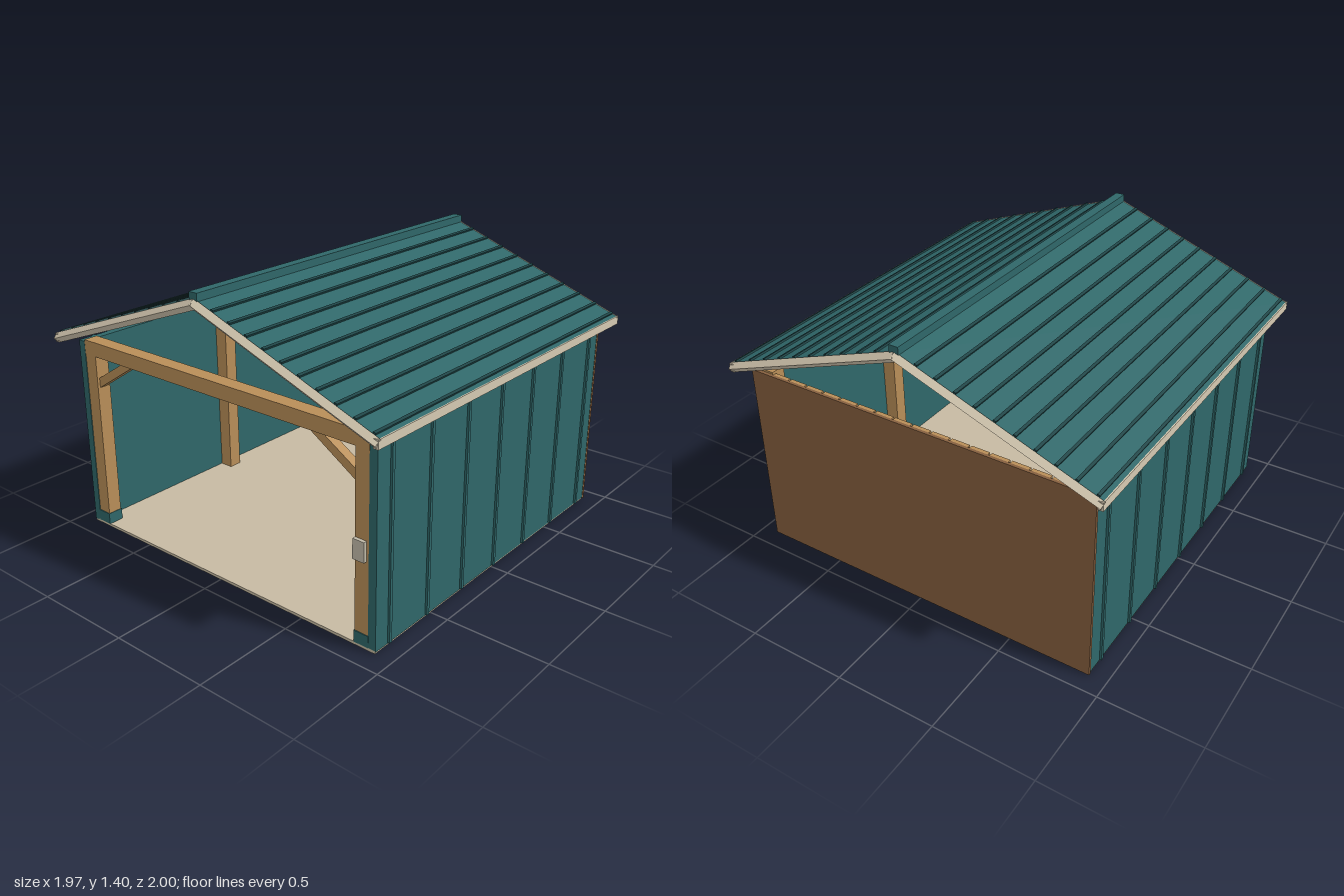
import * as THREE from 'three';

const mat = (name, color) => {
  const m = new THREE.MeshStandardMaterial({ color });
  m.name = name;
  return m;
};

export function createModel() {
  const teal = mat('teal metal', 0x2f6769);
  const darkTeal = mat('dark teal seam', 0x1d4446);
  const timber = mat('tan timber', 0xb88e58);
  const brown = mat('brown boarding', 0x87603f);
  const cream = mat('cream trim', 0xd6cab2);
  const concrete = mat('pale floor', 0xc6baa2);
  const grey = mat('grey box', 0xc2bba9);

  const model = new THREE.Group();
  model.name = 'carport';

  const add = (parent, name, geometry, material, x, y, z) => {
    const mesh = new THREE.Mesh(geometry, material);
    mesh.name = name;
    mesh.position.set(x, y, z);
    parent.add(mesh);
    return mesh;
  };
  // Box given by its minimum and maximum corners
  const box = (parent, name, material, x0, x1, y0, y1, z0, z1) =>
    add(parent, name, new THREE.BoxGeometry(x1 - x0, y1 - y0, z1 - z0), material,
      (x0 + x1) / 2, (y0 + y1) / 2, (z0 + z1) / 2);

  // Floor slab
  box(model, 'floor', concrete, -0.91, 0.91, 0.001, 0.015, -0.9, 0.9);

  // Back wall: brown cladding outside, spaced planks inside
  box(model, 'backWall', brown, -0.915, 0.915, 0.005, 0.975, -0.915, -0.9);
  for (let i = 0; i < 17; i++) {
    const x = -0.85 + i * 0.1 + (i === 16 ? 0.1 : 0);
    if (i < 16) box(model, 'innerPlank', timber, x - 0.045, x + 0.045, 0.015, 0.975, -0.9, -0.882);
    else box(model, 'innerPlank', timber, 0.705, 0.795, 0.015, 0.975, -0.9, -0.882);
  }
  box(model, 'innerPlank', timber, 0.805, 0.87, 0.015, 0.975, -0.9, -0.882);

  // Sides: the same parts on the left (+x) and right (-x)
  for (const s of [1, -1]) {
    const side = new THREE.Group();
    side.name = s > 0 ? 'leftSide' : 'rightSide';
    model.add(side);
    const sideBox = (name, material, x0, x1, y0, y1, z0, z1) =>
      box(side, name, material, Math.min(s * x0, s * x1), Math.max(s * x0, s * x1), y0, y1, z0, z1);

    sideBox('sideWall', teal, 0.873, 0.913, 0.01, 0.98, -0.9, 0.9);
    for (let i = -3; i <= 3; i++) {
      const z = i * 0.27;
      sideBox('wallRib', teal, 0.912, 0.924, 0.015, 0.98, z - 0.008, z + 0.008);
    }

    // Posts with metal feet at the front and back corners
    for (const z of [-0.862, 0, 0.862]) {
      sideBox('post', timber, 0.8, 0.872, 0, 0.985, z - 0.036, z + 0.036);
      if (z !== 0) sideBox('postFoot', teal, 0.797, 0.875, 0.015, 0.072, z - 0.04, z + 0.04);
    }

    // Diagonal brace below the front beam
    const brace = new THREE.Shape([
      [0.8, 0.755], [0.8, 0.805], [0.615, 0.92], [0.54, 0.92],
    ].map(([x, y]) => new THREE.Vector2(s * x, y)));
    add(side, 'brace', new THREE.ExtrudeGeometry(brace, { depth: 0.045, bevelEnabled: false }),
      timber, 0, 0, 0.84);
  }

  // Front beam and switch box
  box(model, 'frontBeam', timber, -0.872, 0.872, 0.918, 0.99, 0.826, 0.9);
  box(model, 'switchBox', grey, 0.8, 0.86, 0.42, 0.515, 0.898, 0.915);

  // Hanging lamp
  const shade = add(model, 'lampShade',
    new THREE.CylinderGeometry(0.017, 0.045, 0.045, 12, 1, true), teal, 0, 0.822, 0);
  shade.material = teal.clone();
  shade.material.side = THREE.DoubleSide;
  add(model, 'lampCap', new THREE.CylinderGeometry(0.017, 0.017, 0.006, 12), teal, 0, 0.846, 0);
  add(model, 'lampRod', new THREE.CylinderGeometry(0.004, 0.004, 0.14, 6), darkTeal, 0, 0.915, 0);

  // Roof: one slope, turned half round for the other
  const rise = 0.353, run = 0.97;
  const length = Math.hypot(rise, run);
  for (const turn of [0, Math.PI]) {
    const half = new THREE.Group();
    half.name = turn ? 'rightRoof' : 'leftRoof';
    half.rotation.y = turn;
    model.add(half);

    // Local x runs down the slope from the ridge
    const slope = new THREE.Group();
    slope.name = 'roofSlope';
    slope.position.y = 1.353;
    slope.rotation.z = -Math.atan2(rise, run);
    half.add(slope);
    box(slope, 'roofPanel', teal, 0, length, 0.004, 0.022, -0.975, 0.975);
    for (let i = 1; i <= 10; i++) {
      const x = i * 0.094 * length / run;
      box(slope, 'roofSeam', darkTeal, x - 0.007, x + 0.007, 0.02, 0.031, -0.972, 0.972);
    }
    // Four-sided gable trim with its edge facing outwards
    for (const z of [-0.975, 0.975]) {
      const trim = add(slope, 'gableTrim',
        new THREE.CylinderGeometry(0.025, 0.025, length + 0.01, 4).toNonIndexed(), cream, length / 2, 0, z);
      trim.geometry.computeVertexNormals();
      trim.rotation.z = Math.PI / 2;
    }
    box(half, 'eaveTrim', cream, 0.955, 0.98, 0.98, 1.022, -0.985, 0.985);
  }

  // Ridge cap
  box(model, 'ridgeCap', teal, -0.024, 0.024, 1.365, 1.405, -0.978, 0.978);

  return model;
}
